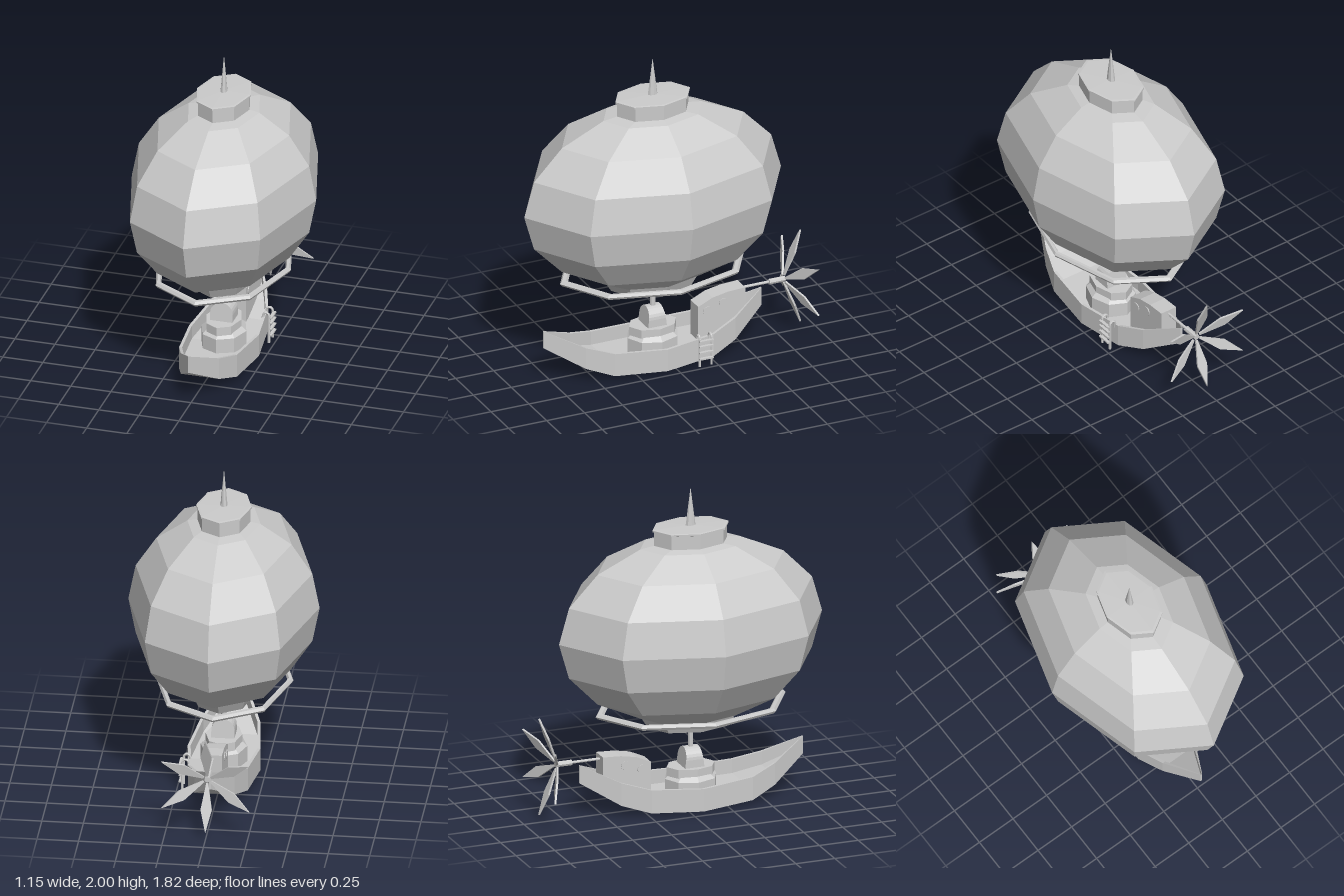
import * as THREE from 'three';

const MID = 0.07;      // z of the balloon and mast axis
const STRETCH = 1.47;  // balloon parts are longer along z than x

const mat = new THREE.MeshStandardMaterial({ color: 0xcccccc, flatShading: true, side: THREE.DoubleSide });

function add(parent, name, geo, x = 0, y = 0, z = 0) {
  const m = new THREE.Mesh(geo, mat);
  m.name = name;
  m.position.set(x, y, z);
  parent.add(m);
  return m;
}

// Eight-sided lathe from [radius, height] pairs
const lathe = (pts, sz = STRETCH) =>
  new THREE.LatheGeometry(pts.map(p => new THREE.Vector2(...p)), 8).scale(1, 1, sz);

// Rod along z between two z values
const rodZ = (r, z0, z1) => new THREE.CylinderGeometry(r, r, Math.abs(z1 - z0), 8)
  .rotateX(Math.PI / 2).translate(0, 0, (z0 + z1) / 2);

// Hull lofted through sections: [z, half width, rim y, keel y]
function hullGeometry() {
  const sections = [
    [0.79, 0.006, 0.33, 0.22], [0.565, 0.12, 0.225, 0.088], [0.4, 0.18, 0.178, 0.032],
    [0.07, 0.218, 0.157, 0.015], [-0.25, 0.18, 0.178, 0.032], [-0.42, 0.12, 0.225, 0.082],
    [-0.645, 0.006, 0.33, 0.217],
  ];
  const pos = [], idx = [], n = 8;
  for (const [z, w, top, bot] of sections) {
    const wi = Math.max(w - 0.018, 0.002), deck = bot + (top - bot) * 0.4;
    for (const [x, y] of [[w, top], [w, bot], [-w, bot], [-w, top], [-wi, top], [-wi, deck], [wi, deck], [wi, top]])
      pos.push(x, y, z);
  }
  for (let i = 0; i < sections.length - 1; i++)
    for (let j = 0; j < n; j++) {
      const a = i * n + j, b = i * n + (j + 1) % n;
      idx.push(a, b, b + n, a, b + n, a + n);
    }
  // End caps
  const e = (sections.length - 1) * n;
  idx.push(0, 3, 2, 0, 2, 1, e, e + 2, e + 3, e, e + 1, e + 2);
  const g = new THREE.BufferGeometry();
  g.setAttribute('position', new THREE.Float32BufferAttribute(pos, 3));
  g.setIndex(idx);
  g.computeVertexNormals();
  return g;
}

function balloon() {
  const g = new THREE.Group();
  g.name = 'balloon';
  g.position.z = MID;
  add(g, 'envelope', new THREE.SphereGeometry(0.575, 8, 8).scale(1, 0.58 / 0.575, STRETCH), 0, 1.11);
  add(g, 'lowerCap', lathe([[0, 0.47], [0.185, 0.507], [0.215, 0.575], [0.25, 0.6]]));
  add(g, 'crown', lathe([[0.16, 1.63], [0.16, 1.742], [0.167, 1.745], [0.167, 1.755], [0.155, 1.757], [0, 1.762]]));
  add(g, 'spire', new THREE.ConeGeometry(0.022, 0.245, 8).scale(1, 1, STRETCH), 0, 1.8775);
  add(g, 'hoop', new THREE.TorusGeometry(0.4, 0.018, 6, 8).rotateX(Math.PI / 2).scale(1, 1, 1.46), 0, 0.621);
  return g;
}

function deckHouse() {
  const g = new THREE.Group();
  g.name = 'deckHouse';
  g.position.z = MID;
  add(g, 'lowerTier', lathe([[0.14, 0.05], [0.14, 0.172], [0.11, 0.2], [0, 0.2]], 1.18));
  add(g, 'upperTier', lathe([[0, 0.19], [0.11, 0.19], [0.11, 0.245], [0, 0.245]], 1.4));
  // Arched cabin, narrower along z towards its top
  const arch = new THREE.Shape();
  arch.moveTo(-0.07, 0);
  arch.lineTo(0.07, 0);
  arch.lineTo(0.07, 0.05);
  arch.absarc(0, 0.05, 0.07, 0, Math.PI, false);
  arch.lineTo(-0.07, 0);
  const geo = new THREE.ExtrudeGeometry(arch, { depth: 0.124, bevelEnabled: false, curveSegments: 6 }).translate(0, 0, -0.062);
  const p = geo.attributes.position;
  for (let i = 0; i < p.count; i++) p.setZ(i, p.getZ(i) * (1 - 2 * p.getY(i)));
  geo.computeVertexNormals();
  add(g, 'archedCabin', geo, 0, 0.243);
  add(g, 'mast', new THREE.CylinderGeometry(0.017, 0.017, 0.14, 8), 0, 0.42);
  return g;
}

function sternCabin() {
  const g = new THREE.Group();
  g.name = 'sternCabin';
  // Side profile in (-z, y), extruded across x
  const side = new THREE.Shape([[0.205, 0.08], [0.205, 0.312], [0.3, 0.355], [0.4, 0.374], [0.515, 0.38], [0.515, 0.2], [0.4, 0.1]]
    .map(p => new THREE.Vector2(...p)));
  add(g, 'cabinBody', new THREE.ExtrudeGeometry(side, { depth: 0.11, bevelEnabled: false })
    .translate(0, 0, -0.055).rotateY(Math.PI / 2));
  for (const s of [-1, 1])
    for (const [z, y] of [[-0.265, 0.275], [-0.37, 0.31]])
      add(g, 'porthole', new THREE.CylinderGeometry(0.028, 0.028, 0.008, 12).rotateZ(Math.PI / 2), s * 0.056, y, z);
  return g;
}

function propeller() {
  const g = new THREE.Group();
  g.name = 'propeller';
  g.position.y = 0.355;
  add(g, 'shaft', rodZ(0.009, -0.5, -0.71));
  add(g, 'hub', rodZ(0.018, -0.695, -0.8));
  const shape = new THREE.Shape([[-0.006, 0], [0.006, 0], [0.034, 0.16], [0, 0.3], [-0.034, 0.16]]
    .map(p => new THREE.Vector2(...p)));
  for (let i = 0; i < 6; i++) {
    const pivot = new THREE.Group();
    pivot.name = 'bladePivot';
    pivot.position.z = -0.795;
    pivot.rotation.z = i * Math.PI / 3 + 0;
    // Blades sweep backwards from the hub
    const blade = add(pivot, 'blade',
      new THREE.ExtrudeGeometry(shape, { depth: 0.012, bevelEnabled: false }).translate(0, 0, -0.006), 0, 0.025, 0);
    blade.rotation.x = -0.37;
    g.add(pivot);
  }
  return g;
}

function ladder() {
  const g = new THREE.Group();
  g.name = 'ladder';
  for (const z of [-0.14, -0.217]) {
    // Rail hooked over the rim
    const path = new THREE.CurvePath();
    const v = (x, y) => new THREE.Vector3(x, y, z);
    path.add(new THREE.LineCurve3(v(0.217, 0.002), v(0.217, 0.18)));
    path.add(new THREE.CubicBezierCurve3(v(0.217, 0.18), v(0.217, 0.207), v(0.18, 0.207), v(0.18, 0.18)));
    path.add(new THREE.LineCurve3(v(0.18, 0.18), v(0.18, 0.15)));
    add(g, 'rail', new THREE.TubeGeometry(path, 24, 0.008, 6));
  }
  for (const y of [0.055, 0.095, 0.135, 0.17])
    add(g, 'rung', new THREE.BoxGeometry(0.02, 0.01, 0.09), 0.228, y, -0.178);
  return g;
}

export function createModel() {
  const model = new THREE.Group();
  model.name = 'airship';
  add(model, 'hull', hullGeometry());
  model.add(balloon(), deckHouse(), sternCabin(), propeller(), ladder());
  return model;
}
